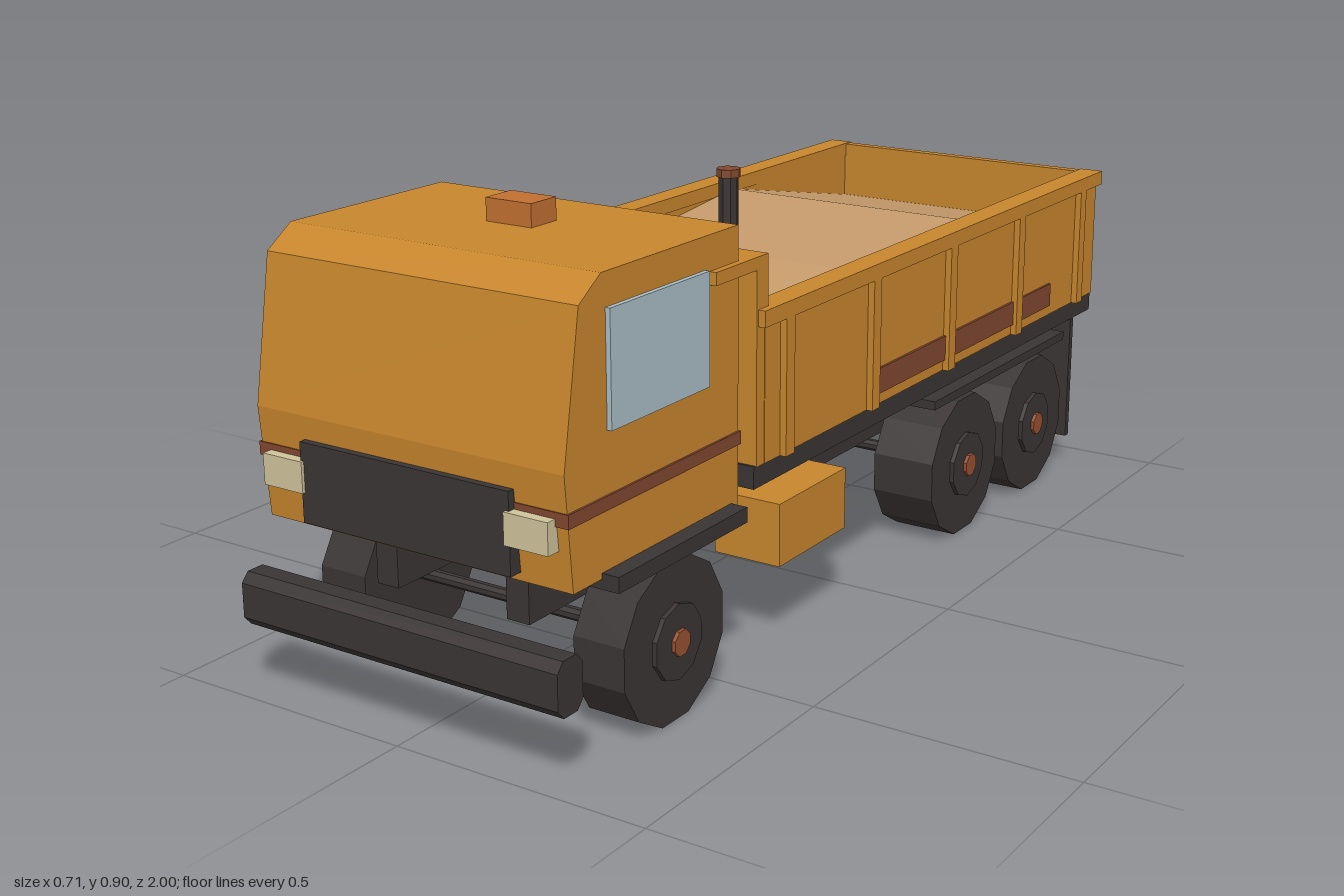
import * as THREE from 'three';

const paint = (name, color) => {
  const m = new THREE.MeshStandardMaterial({ color });
  m.name = name;
  return m;
};

export function createModel() {
  const orange = paint('orange paint', 0xc8862d);
  const dark = paint('dark chassis', 0x3b3535);
  const sandy = paint('sand', 0xc69b6b);
  const glass = paint('window glass', 0xabbfc8);
  const lampCream = paint('lamp cream', 0xd0c49c);
  const brown = paint('brown stripe', 0x81472f);
  const rust = paint('rust hub', 0x96502f);
  const amber = paint('amber beacon', 0xc27032);

  const truck = new THREE.Group();
  truck.name = 'dumpTruck';

  const add = (name, geo, mat) => {
    const mesh = new THREE.Mesh(geo, mat);
    mesh.name = name;
    truck.add(mesh);
    return mesh;
  };
  // Box given by its lower and upper limits on each axis
  const box = (name, mat, x0, x1, y0, y1, z0, z1) => {
    const g = new THREE.BoxGeometry(x1 - x0, y1 - y0, z1 - z0);
    g.translate((x0 + x1) / 2, (y0 + y1) / 2, (z0 + z1) / 2);
    return add(name, g, mat);
  };
  // The same box on the left (+x) and right (-x)
  const pair = (name, mat, x0, x1, ...rest) => {
    box(name + 'Left', mat, x0, x1, ...rest);
    box(name + 'Right', mat, -x1, -x0, ...rest);
  };
  // Side profile of [z, y] points extruded across the width
  const acrossX = (name, mat, points, halfWidth) => {
    const shape = new THREE.Shape(points.map(([z, y]) => new THREE.Vector2(-z, y)));
    const g = new THREE.ExtrudeGeometry(shape, { depth: halfWidth * 2, bevelEnabled: false });
    g.translate(0, 0, -halfWidth);
    g.rotateY(Math.PI / 2);
    return add(name, g, mat);
  };
  // Faceted cylinder lying along x, with flats at the top and bottom
  const discX = (name, mat, r, sides, x0, x1, y, z) => {
    const g = new THREE.CylinderGeometry(r, r, Math.abs(x1 - x0), sides).toNonIndexed();
    g.rotateY(Math.PI / sides);
    g.rotateZ(Math.PI / 2);
    g.computeVertexNormals();
    g.translate((x0 + x1) / 2, y, z);
    return add(name, g, mat);
  };

  // Chassis
  pair('chassisRail', dark, 0.118, 0.165, 0.2, 0.28, -0.995, 0.85);
  box('subframe', dark, -0.16, 0.16, 0.28, 0.34, -0.96, 0.455);
  acrossX('frontBumper', dark, [
    [0.935, 0.15], [0.95, 0.133], [0.985, 0.133], [1, 0.15],
    [1, 0.213], [0.985, 0.23], [0.95, 0.23], [0.935, 0.213],
  ], 0.337);

  // Wheels: single in front, wide at the back
  for (const [axle, z, inner] of [['front', 0.67, 0.228], ['middle', -0.395, 0.197], ['rear', -0.72, 0.197]]) {
    discX(axle + 'Axle', dark, 0.012, 8, -inner, inner, 0.145, z);
    for (const s of [1, -1]) {
      discX(axle + 'Tire', dark, 0.15, 12, s * inner, s * 0.33, 0.145, z);
      discX(axle + 'Rim', dark, 0.069, 10, s * 0.33, s * 0.339, 0.145, z);
      discX(axle + 'HubNut', rust, 0.024, 8, s * 0.339, s * 0.346, 0.145, z);
    }
  }

  // Fenders and mud flaps
  pair('frontFender', dark, 0.205, 0.355, 0.302, 0.33, 0.485, 0.86);
  pair('rearFender', dark, 0.2, 0.335, 0.302, 0.32, -0.86, -0.245);
  pair('mudFlap', dark, 0.2, 0.335, 0.065, 0.34, -0.91, -0.895);

  // Toolbox on the left, fuel tank on the right
  box('toolbox', orange, 0.187, 0.325, 0.16, 0.28, 0.095, 0.33);
  const tankGeo = new THREE.CylinderGeometry(0.085, 0.085, 0.29, 12).toNonIndexed();
  tankGeo.rotateX(Math.PI / 2);
  tankGeo.computeVertexNormals();
  tankGeo.translate(-0.258, 0.223, 0.225);
  add('fuelTank', tankGeo, dark);

  // Cab
  acrossX('cab', orange, [
    [0.463, 0.32], [0.935, 0.32], [0.952, 0.52], [0.908, 0.778], [0.85, 0.817], [0.463, 0.817],
  ], 0.322);
  box('cabStripe', brown, -0.326, 0.326, 0.432, 0.456, 0.461, 0.949);
  pair('sideWindow', glass, 0.322, 0.331, 0.562, 0.76, 0.563, 0.84);
  box('grille', dark, -0.22, 0.22, 0.335, 0.478, 0.93, 0.962);
  pair('headlight', lampCream, 0.213, 0.3, 0.389, 0.445, 0.93, 0.968);
  box('roofBeacon', amber, -0.048, 0.048, 0.815, 0.858, 0.602, 0.67);

  // Cargo bed
  box('bedFloor', dark, -0.333, 0.333, 0.34, 0.382, -1, 0.43);
  pair('bedWall', orange, 0.3, 0.336, 0.38, 0.64, -0.998, 0.4);
  pair('bedRim', orange, 0.298, 0.349, 0.632, 0.662, -1, 0.42);
  box('tailgate', orange, -0.336, 0.336, 0.38, 0.66, -1, -0.978);
  box('headboard', orange, -0.335, 0.335, 0.38, 0.74, 0.388, 0.425);
  box('headboardCanopy', orange, -0.335, 0.335, 0.732, 0.755, 0.388, 0.55);
  for (let i = 0; i < 5; i++) {
    const z = 0.335 - i * 0.31;
    pair('bedRib', orange, 0.33, 0.349, 0.38, 0.635, z - 0.014, z + 0.014);
  }
  pair('bedStripe', brown, 0.334, 0.341, 0.402, 0.452, -0.766, 0.01);

  // Sand load
  acrossX('sandLoad', sandy, [
    [-0.97, 0.38], [0.38, 0.38], [0.378, 0.39], [0.22, 0.54],
    [-0.1, 0.605], [-0.47, 0.642], [-0.97, 0.54],
  ], 0.292);

  // Exhaust stack
  for (const [name, mat, r, y0, y1] of [['exhaustStack', dark, 0.017, 0.35, 0.89], ['exhaustCap', brown, 0.021, 0.886, 0.9]]) {
    const g = new THREE.CylinderGeometry(r, r, y1 - y0, 8).toNonIndexed();
    g.computeVertexNormals();
    g.translate(0.273, (y0 + y1) / 2, 0.418);
    add(name, g, mat);
  }

  return truck;
}
